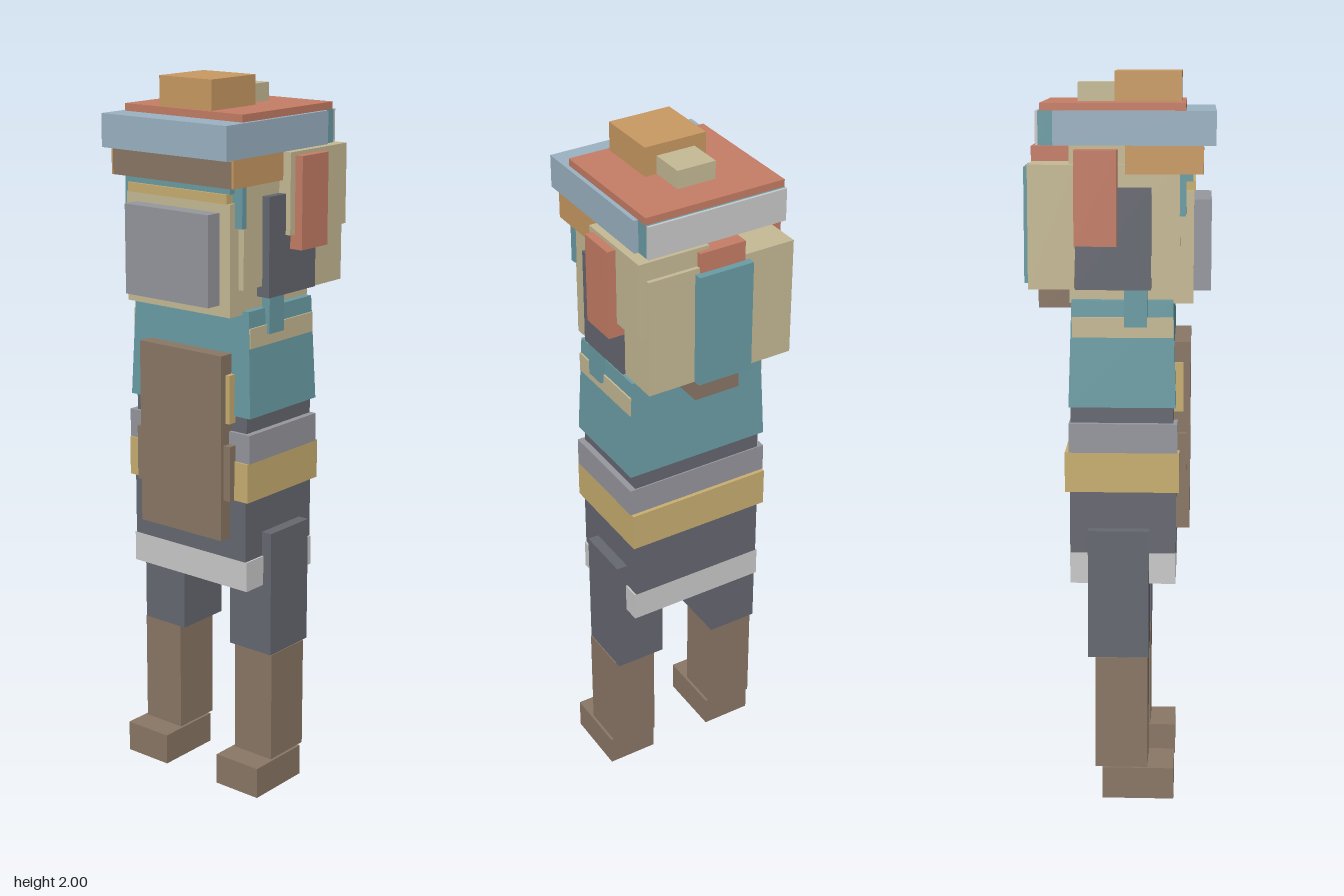
import * as THREE from 'three';

const mat = (name, color) => Object.assign(new THREE.MeshStandardMaterial({ color }), { name });
const M = {
  brown: mat('brown leather', 0x8a7766),
  dark: mat('dark slate', 0x666871),
  white: mat('pale grey', 0xcacaca),
  gold: mat('gold', 0xc8ae70),
  grey: mat('mid grey', 0x96969e),
  teal: mat('teal', 0x6a9ca4),
  tan: mat('tan', 0xc6ba95),
  orange: mat('orange', 0xc99a62),
  red: mat('clay red', 0xc57d65),
  blue: mat('pale blue', 0x9bb2c2),
};

export function createModel() {
  const model = new THREE.Group();
  model.name = 'blockFigure';

  // box given by its limits on each axis
  const box = (name, m, x0, x1, y0, y1, z0, z1) => {
    const mesh = new THREE.Mesh(new THREE.BoxGeometry(x1 - x0, y1 - y0, z1 - z0), M[m]);
    mesh.position.set((x0 + x1) / 2, (y0 + y1) / 2, (z0 + z1) / 2);
    mesh.name = name;
    model.add(mesh);
    return mesh;
  };
  const mid = (name, m, x, ...r) => box(name, m, -x, x, ...r);
  const pair = (name, m, x0, x1, ...r) => {
    box('left' + name, m, x0, x1, ...r);
    box('right' + name, m, -x1, -x0, ...r);
  };

  // legs
  pair('Foot', 'brown', 0.095, 0.243, 0, 0.09, -0.04, 0.158);
  pair('Boot', 'brown', 0.103, 0.235, 0.09, 0.41, -0.06, 0.085);
  pair('Thigh', 'dark', 0.085, 0.232, 0.41, 0.77, -0.08, 0.087);

  // hips, belt and waist
  mid('hem', 'white', 0.205, 0.615, 0.70, -0.13, 0.16);
  mid('hips', 'dark', 0.2, 0.70, 0.875, -0.13, 0.16);
  mid('belt', 'gold', 0.213, 0.875, 0.985, -0.143, 0.168);
  mid('waistBand', 'grey', 0.215, 0.985, 1.065, -0.132, 0.163);
  mid('waist', 'dark', 0.197, 1.065, 1.11, -0.128, 0.152);

  // torso, slightly narrower at the top
  const torso = mid('torso', 'teal', 0.213, 1.11, 1.40, -0.132, 0.158);
  const p = torso.geometry.attributes.position;
  for (let i = 0; i < p.count; i++) {
    if (p.getY(i) > 0) p.setXYZ(i, p.getX(i) * 0.94, p.getY(i), p.getZ(i) * 0.94);
  }
  torso.geometry.computeVertexNormals();
  pair('ShoulderStripe', 'tan', 0.199, 0.207, 1.30, 1.355, -0.122, 0.15);
  pair('Strap', 'teal', 0.19, 0.216, 1.33, 1.44, 0.018, 0.08);

  // apron
  mid('apronBacking', 'gold', 0.158, 1.09, 1.225, 0.14, 0.178);
  mid('apron', 'brown', 0.145, 0.76, 1.28, 0.15, 0.197);
  mid('apronTie', 'brown', 0.167, 0.875, 1.03, 0.15, 0.187);

  // head and face
  mid('head', 'tan', 0.18, 1.39, 1.69, -0.13, 0.203);
  mid('upperHead', 'tan', 0.18, 1.69, 1.81, -0.13, 0.17);
  mid('facePlate', 'grey', 0.145, 1.42, 1.665, 0.2, 0.25);
  mid('browStripe', 'gold', 0.172, 1.69, 1.715, 0.15, 0.207);
  mid('browBand', 'teal', 0.178, 1.715, 1.735, 0.15, 0.2);
  pair('Temple', 'teal', 0.17, 0.204, 1.625, 1.735, 0.165, 0.182);
  mid('fringe', 'brown', 0.205, 1.735, 1.805, 0.17, 0.228);
  pair('SideFringe', 'orange', 0.175, 0.211, 1.735, 1.81, 0.02, 0.227);

  // cheeks and ears
  pair('Cheek', 'tan', 0.17, 0.198, 1.46, 1.76, -0.13, 0.168);
  pair('EarPad', 'dark', 0.17, 0.221, 1.43, 1.70, -0.112, 0.09);
  pair('EarFlap', 'red', 0.19, 0.26, 1.55, 1.80, -0.113, 0);

  // back of the head
  mid('backHair', 'tan', 0.215, 1.43, 1.76, -0.238, -0.115);
  box('sideHair', 'tan', 0.033, 0.236, 1.59, 1.81, -0.227, 0.02);
  mid('backPanel', 'teal', 0.08, 1.43, 1.745, -0.26, -0.2);
  mid('backClasp', 'red', 0.067, 1.73, 1.80, -0.24, -0.13);
  mid('backTail', 'brown', 0.067, 1.36, 1.43, -0.222, -0.125);

  // hat
  mid('brim', 'blue', 0.215, 1.81, 1.90, -0.17, 0.26);
  mid('hatBack', 'teal', 0.203, 1.81, 1.90, -0.21, -0.17);
  mid('hatBackPlate', 'white', 0.203, 1.81, 1.90, -0.217, -0.21);
  mid('hatTop', 'red', 0.203, 1.90, 1.92, -0.205, 0.18);
  mid('hatBlock', 'orange', 0.09, 1.92, 2.0, -0.012, 0.168);
  mid('hatKnob', 'tan', 0.056, 1.92, 1.97, -0.113, -0.012);

  return model;
}
